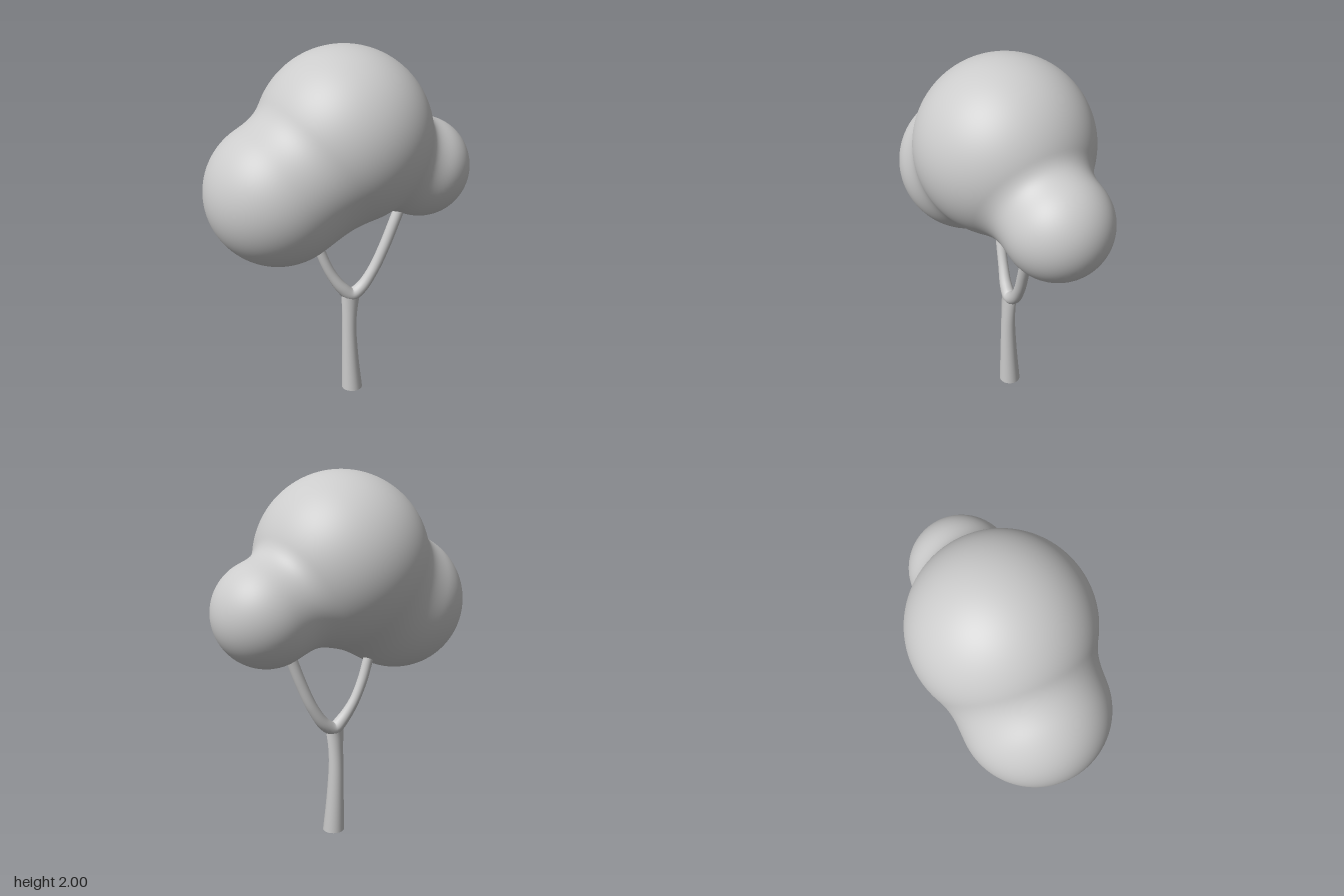
import * as THREE from 'three';
import { mergeVertices } from 'three/addons/utils/BufferGeometryUtils.js';

const material = new THREE.MeshStandardMaterial({ color: 0xcccccc });
const vec = (p) => new THREE.Vector3(...p);

function addMesh(group, name, geometry) {
  const mesh = new THREE.Mesh(geometry, material);
  mesh.name = name;
  group.add(mesh);
}

// Crown puffs: centre and radius
const puffs = [
  { c: vec([0, 1.53, 0]), r: 0.468 },
  { c: vec([-0.38, 1.28, 0]), r: 0.382 },
  { c: vec([0.475, 1.3, 0]), r: 0.28 },
];

// Distance to the puffs melted together, softer on the underside
function crownDistance(p) {
  const k = THREE.MathUtils.clamp(0.15 - 0.1 * (p.y - 1.1), 0.08, 0.16);
  return puffs.map(({ c, r }) => p.distanceTo(c) - r).reduce((a, b) => {
    const h = Math.max(k - Math.abs(a - b), 0) / k;
    return Math.min(a, b) - h * h * k / 4;
  });
}

// Shrink a fine ball onto the blended puffs
function crownGeometry() {
  let geo = new THREE.IcosahedronGeometry(1, 36);
  geo.deleteAttribute('uv');
  geo.deleteAttribute('normal');
  geo = mergeVertices(geo, 1e-5);
  const centre = vec([0.02, 1.42, 0]);
  const pos = geo.attributes.position;
  const dir = new THREE.Vector3(), p = new THREE.Vector3();
  for (let i = 0; i < pos.count; i++) {
    dir.fromBufferAttribute(pos, i).normalize();
    let t = 1.2;
    for (let s = 0; s < 80; s++) {
      p.copy(centre).addScaledVector(dir, t);
      const d = crownDistance(p);
      if (Math.abs(d) < 1e-4) break;
      t -= d * 0.95;
    }
    pos.setXYZ(i, p.x, p.y, p.z);
  }
  geo.computeVertexNormals();
  return geo;
}

// Upright trunk: rows of height, centre x, half width, half depth
function trunkGeometry() {
  const rows = [
    [0, 0.055, 0.06, 0.06], [0.2, 0.043, 0.048, 0.049], [0.4, 0.036, 0.041, 0.041],
    [0.5, 0.039, 0.045, 0.037], [0.56, 0.042, 0.052, 0.035], [0.61, 0.048, 0.06, 0.026],
  ];
  const spline = (k) => new THREE.CatmullRomCurve3(rows.map((r) => vec([r[0], r[k], 0])));
  const [cx, rx, rz] = [1, 2, 3].map(spline);
  const geo = new THREE.CylinderGeometry(1, 1, 1, 28, 30);
  const pos = geo.attributes.position;
  for (let i = 0; i < pos.count; i++) {
    const t = pos.getY(i) + 0.5;
    const mid = cx.getPoint(t);
    pos.setXYZ(i, mid.y + pos.getX(i) * rx.getPoint(t).y, mid.x, pos.getZ(i) * rz.getPoint(t).y);
  }
  return geo;
}

// Both branches are one U-shaped tube, thickest at the fork
function branchGeometry() {
  const path = new THREE.CatmullRomCurve3([
    [-0.175, 1.1, -0.075], [-0.147, 0.99, -0.058], [-0.112, 0.86, -0.046], [-0.063, 0.74, -0.03],
    [-0.005, 0.65, -0.01], [0.05, 0.604, 0], [0.11, 0.637, 0.006],
    [0.18, 0.74, 0.02], [0.24, 0.88, 0.038], [0.29, 1.02, 0.053], [0.33, 1.13, 0.062],
  ].map(vec));
  const rings = 90, sides = 20;
  const geo = new THREE.TubeGeometry(path, rings, 1, sides);
  const pos = geo.attributes.position;
  const v = new THREE.Vector3();
  for (let i = 0; i <= rings; i++) {
    const mid = path.getPointAt(i / rings);
    const tip = THREE.MathUtils.smoothstep(Math.abs(mid.x - 0.05), 0, 0.14);
    const radius = THREE.MathUtils.lerp(0.038, mid.x < 0.05 ? 0.028 : 0.031, tip);
    for (let j = 0; j <= sides; j++) {
      const n = i * (sides + 1) + j;
      v.fromBufferAttribute(pos, n).sub(mid).multiplyScalar(radius).add(mid);
      pos.setXYZ(n, v.x, v.y, v.z);
    }
  }
  return geo;
}

export function createModel() {
  const tree = new THREE.Group();
  tree.name = 'tree';
  addMesh(tree, 'crown', crownGeometry());
  addMesh(tree, 'trunk', trunkGeometry());
  addMesh(tree, 'branches', branchGeometry());
  return tree;
}
